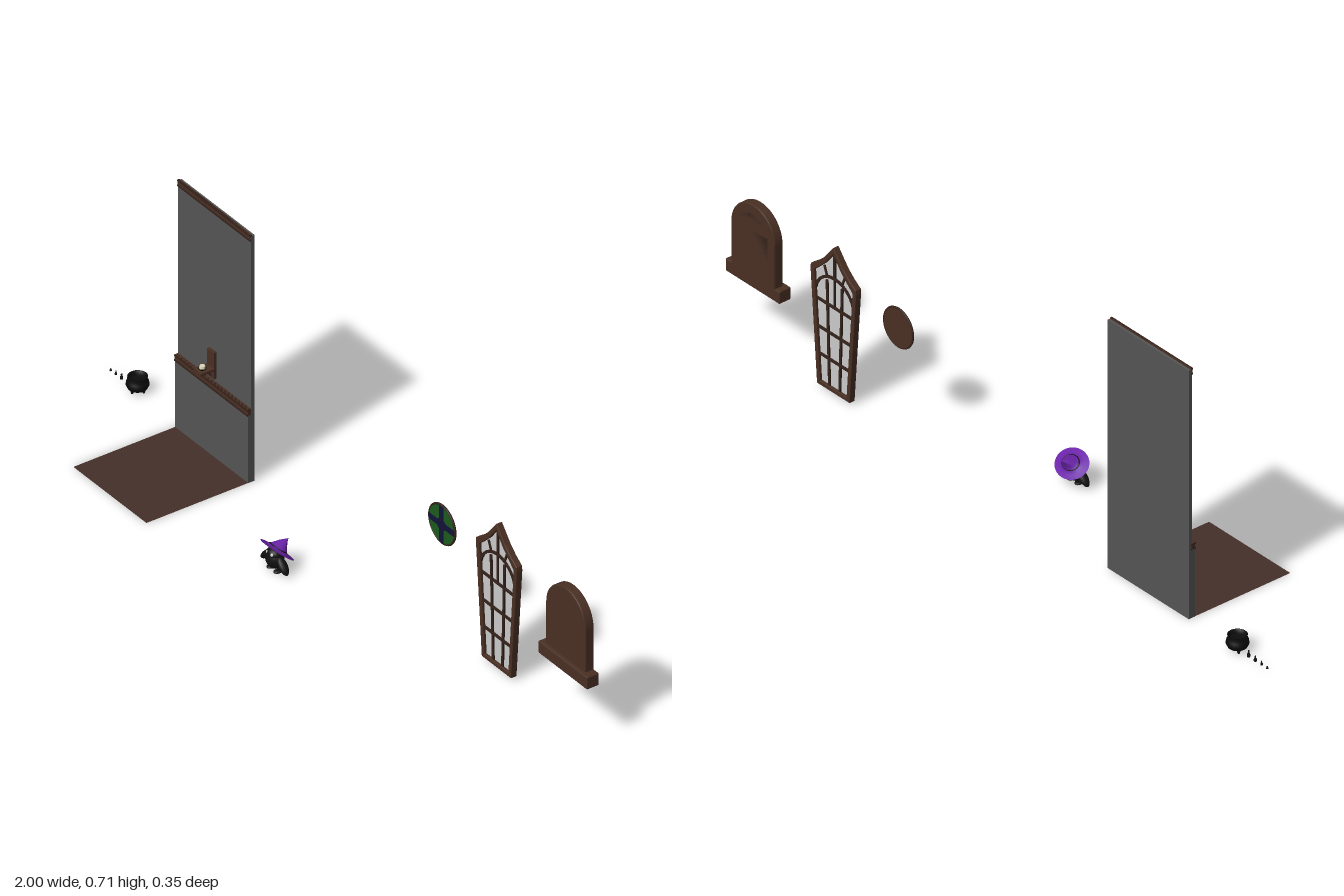
import * as THREE from 'three';
import { RoundedBoxGeometry } from 'three/addons/geometries/RoundedBoxGeometry.js';

const mat = (color, side = THREE.FrontSide) => new THREE.MeshStandardMaterial({ color, side });
const M = {
  wood: mat(0x4a3024), darkWood: mat(0x34221a), floor: mat(0x453029, THREE.DoubleSide), wall: mat(0x555555),
  glass: mat(0xcccccc), black: mat(0x111111), iron: mat(0x0c0c0c, THREE.DoubleSide), purple: mat(0x6a22a8, THREE.DoubleSide),
  green: mat(0x1c5a1c), navy: mat(0x12123a), cream: mat(0xe0d8bc), white: mat(0xdddddd),
};

function add(parent, name, geo, material, x = 0, y = 0, z = 0) {
  const m = new THREE.Mesh(geo, material);
  m.name = name;
  m.position.set(x, y, z);
  parent.add(m);
  return m;
}
function group(parent, name, x = 0, y = 0, z = 0) {
  const g = new THREE.Group();
  g.name = name;
  g.position.set(x, y, z);
  parent.add(g);
  return g;
}
// Box given by its limits
const block = (p, name, m, x0, x1, y0, y1, z0, z1) =>
  add(p, name, new THREE.BoxGeometry(x1 - x0, y1 - y0, z1 - z0), m, (x0 + x1) / 2, (y0 + y1) / 2, (z0 + z1) / 2);
// Flat bar between two points in the xy plane
function bar(p, name, m, [ax, ay], [bx, by], width, depth, z) {
  const len = Math.hypot(bx - ax, by - ay);
  const b = add(p, name, new THREE.BoxGeometry(len, width, depth), m, (ax + bx) / 2, (ay + by) / 2, z);
  b.rotation.z = Math.atan2(by - ay, bx - ax);
}
const extrude = (shape, depth, bevel = 0) => new THREE.ExtrudeGeometry(shape, {
  depth: depth - 2 * bevel, curveSegments: 24, bevelEnabled: bevel > 0, bevelSize: bevel, bevelOffset: -bevel,
  bevelThickness: bevel, bevelSegments: 2,
}).translate(0, 0, bevel);
const lathe = (pts, n = 24) => new THREE.LatheGeometry(pts.map(p => new THREE.Vector2(...p)), n);

function wallSection(root) {
  const g = group(root, 'wallSection');
  const x0 = -0.708, x1 = -0.408;
  block(g, 'wall', M.wall, x0, x1, 0, 0.703, -0.145, -0.135);
  block(g, 'lowerPanel', M.wall, x0, x1, 0, 0.193, -0.135, -0.126);
  // Moulded rails: one broad strip with two beads
  for (const [name, y, z] of [['chairRail', 0.191, -0.126], ['topRail', 0.688, -0.1345]]) {
    block(g, name, M.wood, x0, x1, y, y + 0.018, -0.138, z + 0.001);
    for (const dy of [0.002, 0.016])
      block(g, name + 'Bead', M.darkWood, x0, x1, y + dy - 0.002, y + dy + 0.002, -0.138, z + 0.003);
  }
  const f = add(g, 'floor', new THREE.PlaneGeometry(0.3, 0.318), M.floor, -0.558, 0.0005, 0.014);
  f.rotation.x = -Math.PI / 2;

  // Candle bracket
  const c = group(g, 'candleShelf', -0.564, 0, 0);
  block(c, 'backPlate', M.wood, -0.014, 0.014, 0.22, 0.295, -0.135, -0.127);
  block(c, 'shelf', M.wood, -0.016, 0.016, 0.245, 0.251, -0.127, -0.088);
  const brace = block(c, 'brace', M.wood, -0.004, 0.004, 0.233, 0.238, -0.132, -0.105);
  brace.rotation.x = -0.78;
  add(c, 'candleDish', new THREE.CylinderGeometry(0.010, 0.007, 0.004, 20), M.black, 0, 0.253, -0.103);
  add(c, 'candle', new THREE.CylinderGeometry(0.007, 0.008, 0.008, 16), M.cream, 0, 0.258, -0.103);
}

function cauldronSet(root) {
  const g = group(root, 'cauldron', -0.887, 0, -0.144);
  add(g, 'pot', lathe([[0, 0.003], [0.012, 0.004], [0.024, 0.011], [0.029, 0.021], [0.027, 0.031], [0.022, 0.037],
    [0.025, 0.044], [0.022, 0.044], [0.019, 0.037], [0.018, 0.033], [0, 0.033]]), M.iron);
  for (let i = 0; i < 3; i++) {
    const a = i * Math.PI * 2 / 3 + Math.PI / 2;
    add(g, 'foot', new THREE.CylinderGeometry(0.005, 0.003, 0.011, 10), M.black,
      Math.cos(a) * 0.016, 0.0055, Math.sin(a) * 0.016);
  }
  // Row of tiny flasks beside the pot
  [[-0.997, 0.003, 0.006], [-0.976, 0.003, 0.011], [-0.953, 0.004, 0.014], [-0.928, 0.004, 0.018]].forEach(([x, r, h]) =>
    add(root, 'flask', lathe([[0, 0], [r, 0], [r, h * 0.4], [r * 0.45, h * 0.65], [r * 0.5, h], [0, h]], 12), M.black, x, 0, -0.144));
}

function hattedCreature(root) {
  const g = group(root, 'hattedCreature', -0.064, 0, 0.042);
  add(g, 'body', new THREE.SphereGeometry(1, 24, 16), M.black, 0, 0.035, 0).scale.set(0.026, 0.027, 0.022);
  add(g, 'head', new THREE.SphereGeometry(1, 24, 16), M.black, 0, 0.05, 0.002).scale.set(0.022, 0.015, 0.018);
  for (const s of [-1, 1]) {
    const wing = add(g, 'wing', new THREE.SphereGeometry(1, 16, 10), M.black, s * 0.034, 0.029, 0);
    wing.scale.set(0.009, 0.025, 0.012);
    wing.rotation.z = s * 0.75;
    add(g, 'leg', new THREE.CylinderGeometry(0.005, 0.005, 0.014, 10), M.black, s * 0.013, 0.009, -0.002);
    add(g, 'foot', new THREE.SphereGeometry(1, 14, 8), M.black, s * 0.014, 0.0045, 0.002).scale.set(0.009, 0.0045, 0.011);
    add(g, 'eye', new THREE.SphereGeometry(0.005, 14, 10), M.white, s * 0.009, 0.053, 0.014);
  }
  // Tilted hat with a tip that bends backwards
  const geo = lathe([[0.041, 0], [0.03, 0.002], [0.021, 0.005], [0.015, 0.014], [0.009, 0.024], [0.004, 0.031], [0, 0.037]], 32);
  const p = geo.attributes.position;
  for (let i = 0; i < p.count; i++) {
    const t = p.getY(i) / 0.037;
    p.setXYZ(i, p.getX(i) * 1.28, p.getY(i), p.getZ(i) - 0.013 * t * t);
  }
  geo.computeVertexNormals();
  const hat = group(g, 'hat', 0, 0.055, -0.007);
  hat.rotation.x = -0.67;
  add(hat, 'hatBrimAndCone', geo, M.purple);
  const band = add(hat, 'hatBand', new THREE.TorusGeometry(0.02, 0.0015, 6, 32), M.black, 0, 0.006, 0);
  band.rotation.x = Math.PI / 2;
  band.scale.x = 1.28;
}

function roundWindow(root) {
  const g = group(root, 'roundWindow', 0.375, 0.298, -0.137);
  const disc = (name, r, d, m, z) => add(g, name, new THREE.CylinderGeometry(r, r, d, 48).rotateX(Math.PI / 2), m, 0, 0, z);
  disc('backing', 0.055, 0.003, M.wood, 0);
  disc('greenGlass', 0.051, 0.002, M.green, 0.002);
  add(g, 'rim', new THREE.TorusGeometry(0.053, 0.003, 8, 48), M.darkWood, 0, 0, 0.001);
  block(g, 'crossUpright', M.navy, -0.008, 0.008, -0.051, 0.051, 0.002, 0.0045);
  block(g, 'crossArm', M.navy, -0.051, 0.051, -0.008, 0.008, 0.002, 0.0046);
  disc('crossCentre', 0.017, 0.003, M.navy, 0.0035);
}

// Symmetric outline from right-hand half points, listed bottom to top
function mirrored(half, Type = THREE.Shape) {
  const pts = [...half, ...half.filter(q => q[0] > 0).reverse().map(([x, y]) => [-x, y])];
  return new Type(pts.map(q => new THREE.Vector2(...q)));
}

function coffinWindow(root) {
  const g = group(root, 'coffinWindow', 0.6, 0, -0.151);
  const outer = [[0.06, 0.01], [0.084, 0.325], [0.083, 0.338], [0.058, 0.356], [0.036, 0.376], [0.018, 0.398], [0, 0.42]];
  const inner = [[0.049, 0.021], [0.071, 0.325], [0.05, 0.344], [0.028, 0.365], [0.011, 0.387], [0, 0.401]];
  const shape = mirrored(outer);
  shape.holes.push(mirrored(inner, THREE.Path));
  add(g, 'frame', extrude(shape, 0.018, 0.002), M.wood);
  add(g, 'pane', extrude(mirrored(inner), 0.003), M.glass, 0, 0, 0.0075);
  const b = (a, c, w = 0.007) => bar(g, 'glazingBar', M.darkWood, a, c, w, 0.011, 0.009);
  for (const y of [0.095, 0.17, 0.248]) {
    const w = 0.05 + (y - 0.02) * 0.072;
    b([-w, y], [w, y]);
  }
  for (const s of [-1, 1]) {
    b([s * 0.019, 0.02], [s * 0.026, 0.25]);
    b([s * 0.026, 0.25], [s * 0.028, 0.315]);
    b([s * 0.026, 0.322], [s * 0.038, 0.352], 0.005);
  }
  b([0, 0.248], [0, 0.33], 0.005);
  b([0, 0.33], [0, 0.402]);
  // Segmental arch across the head
  for (let i = 0; i < 12; i++) {
    const at = k => { const a = Math.PI * (0.06 + 0.88 * k / 12); return [0.071 * Math.cos(a), 0.263 + 0.067 * Math.sin(a)]; };
    b(at(i), at(i + 1));
  }
}

function archOutline(r, bottom, spring, Type = THREE.Shape) {
  const s = new Type();
  s.moveTo(-r, bottom);
  s.lineTo(r, bottom);
  s.lineTo(r, spring);
  s.absarc(0, spring, r, 0, Math.PI, false);
  s.lineTo(-r, bottom);
  return s;
}

function archedNiche(root) {
  const g = group(root, 'archedNiche', 0.896, 0, -0.151);
  const spring = 0.317, r = 0.05;
  const ring = (name, ro, ri, depth, m) => {
    const s = archOutline(ro, 0.195, spring);
    s.holes.push(archOutline(ri, 0.2, spring, THREE.Path));
    add(g, name, extrude(s, depth, 0.003), m);
  };
  add(g, 'backPanel', extrude(archOutline(0.079, 0.195, spring), 0.008), M.wood);
  ring('outerArch', 0.081, 0.056, 0.026, M.wood);
  ring('innerArch', 0.058, 0.047, 0.02, M.darkWood);
  add(g, 'sill', new RoundedBoxGeometry(0.2, 0.035, 0.036, 2, 0.003), M.wood, 0.002, 0.182, 0.018);
  // Diamond lattice clipped to the opening
  const inside = (x, y) => Math.abs(x) < r && y > 0.2 && (y < spring || Math.hypot(x, y - spring) < r);
  for (const s of [-1, 1]) {
    for (let c = 0.16; c < 0.44; c += 0.02) {
      const hits = [];
      for (let x = -r; x <= r; x += 0.002) if (inside(x, c + s * x * 1.3)) hits.push([x, c + s * x * 1.3]);
      if (hits.length > 2) bar(g, 'lattice', M.darkWood, hits[0], hits[hits.length - 1], 0.004, 0.004, 0.01 + s * 0.0005);
    }
  }
}

export function createModel() {
  const root = new THREE.Group();
  root.name = 'spookyRoomSet';
  for (const build of [wallSection, cauldronSet, hattedCreature, roundWindow, coffinWindow, archedNiche]) build(root);
  return root;
}
